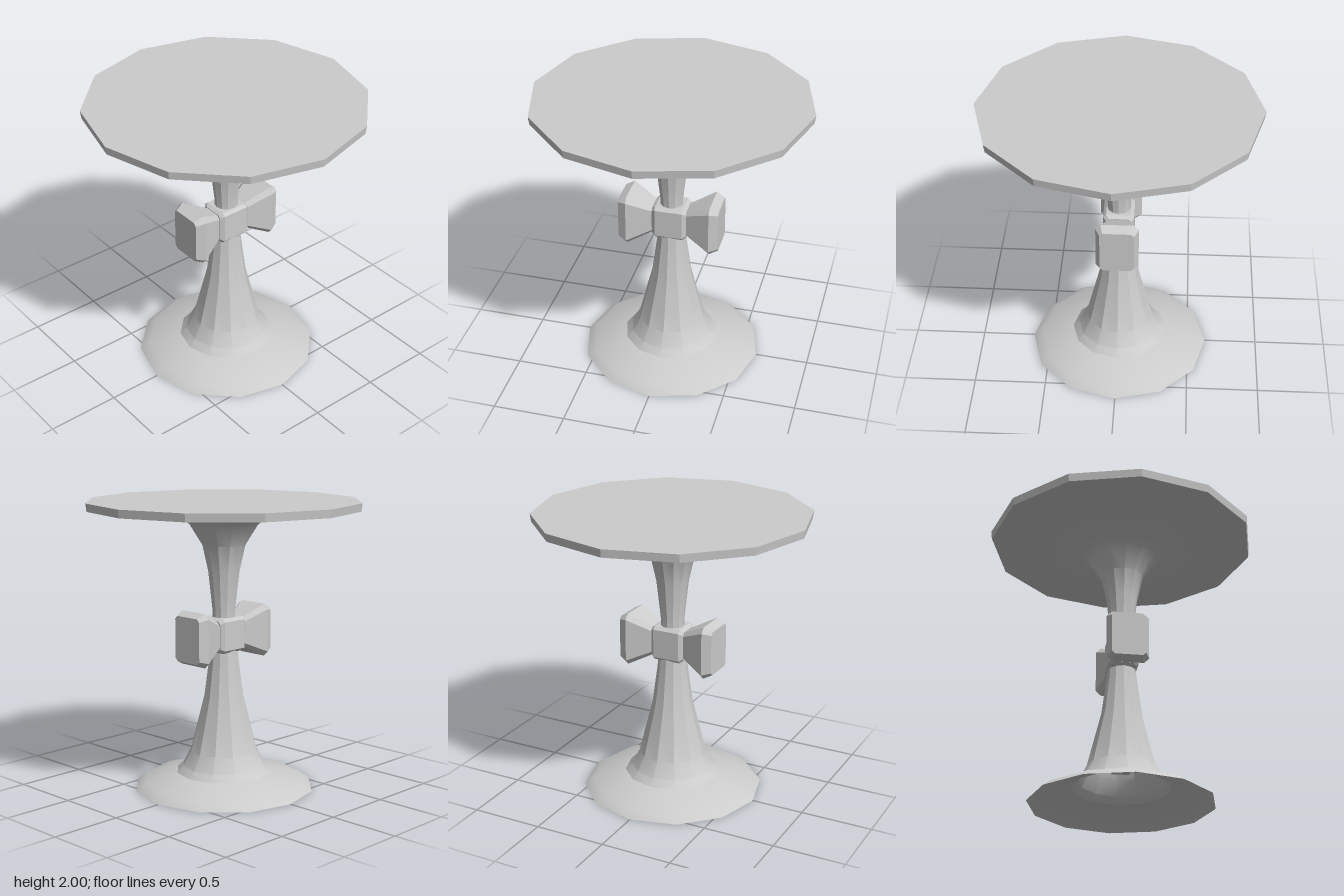
import * as THREE from 'three';
import { toCreasedNormals } from 'three/addons/utils/BufferGeometryUtils.js';

// Chamfered-rectangle loft along x; each section is [x, halfY, halfZ, chamfer]
function loftX(sections) {
  const pos = [];
  const rings = sections.map(([x, h, d, c]) => [
    [h, -d + c], [h, d - c], [h - c, d], [-h + c, d],
    [-h, d - c], [-h, -d + c], [-h + c, -d], [h - c, -d],
  ].map(([y, z]) => [x, y, z]));
  const tri = (...corners) => corners.forEach((p) => pos.push(...p));
  for (let i = 0; i < rings.length - 1; i++) {
    for (let j = 0; j < 8; j++) {
      const k = (j + 1) % 8, a = rings[i], b = rings[i + 1];
      tri(a[j], a[k], b[k]);
      tri(a[j], b[k], b[j]);
    }
  }
  const first = rings[0], last = rings[rings.length - 1];
  for (let j = 1; j < 7; j++) {
    tri(first[0], first[j + 1], first[j]);
    tri(last[0], last[j], last[j + 1]);
  }
  const geo = new THREE.BufferGeometry();
  geo.setAttribute('position', new THREE.Float32BufferAttribute(pos, 3));
  geo.computeVertexNormals();
  return geo;
}

export function createModel() {
  const group = new THREE.Group();
  const shell = new THREE.MeshStandardMaterial({ color: 0xcccccc, side: THREE.DoubleSide });
  const faceted = new THREE.MeshStandardMaterial({ color: 0xcccccc, flatShading: true });

  const add = (name, geo, mat, parent = group) => {
    const mesh = new THREE.Mesh(geo, mat);
    mesh.name = name;
    parent.add(mesh);
    return mesh;
  };

  // Twelve-sided turned body: open flared foot, slim waist, trumpet top
  const profile = [
    [0.63, 0], [0.56, 0.05], [0.335, 0.11], [0.29, 0.155], [0.235, 0.26],
    [0.19, 0.44], [0.14, 0.64], [0.105, 0.9], [0.08, 1.15], [0.08, 1.25],
    [0.11, 1.52], [0.15, 1.7], [0.24, 1.845], [0.315, 1.89], [0.56, 1.92],
    [0.935, 1.945], [0.942, 2], [0, 2],
  ].map(([r, y]) => new THREE.Vector2(r, y));
  add('pedestalTable', toCreasedNormals(new THREE.LatheGeometry(profile, 12), 0.5), shell);

  // Square post inside the hollow column, its end seen from below
  const post = add('innerPost', new THREE.BoxGeometry(0.12, 0.85, 0.12), faceted);
  post.position.y = 0.23 + 0.425;

  // Bow around the waist
  const bow = new THREE.Group();
  bow.name = 'bow';
  bow.position.y = 1.085;
  group.add(bow);

  add('bowKnot', loftX([
    [-0.12, 0.105, 0.085, 0.02], [-0.095, 0.12, 0.105, 0.02],
    [0.095, 0.12, 0.105, 0.02], [0.12, 0.105, 0.085, 0.02],
  ]), faceted, bow);

  const loop = loftX([
    [0.06, 0.09, 0.07, 0.025], [0.12, 0.1, 0.08, 0.025],
    [0.29, 0.185, 0.145, 0.035], [0.35, 0.155, 0.115, 0.02],
  ]);
  add('leftBowLoop', loop, faceted, bow);
  add('rightBowLoop', loop, faceted, bow).rotation.y = Math.PI;

  return group;
}
